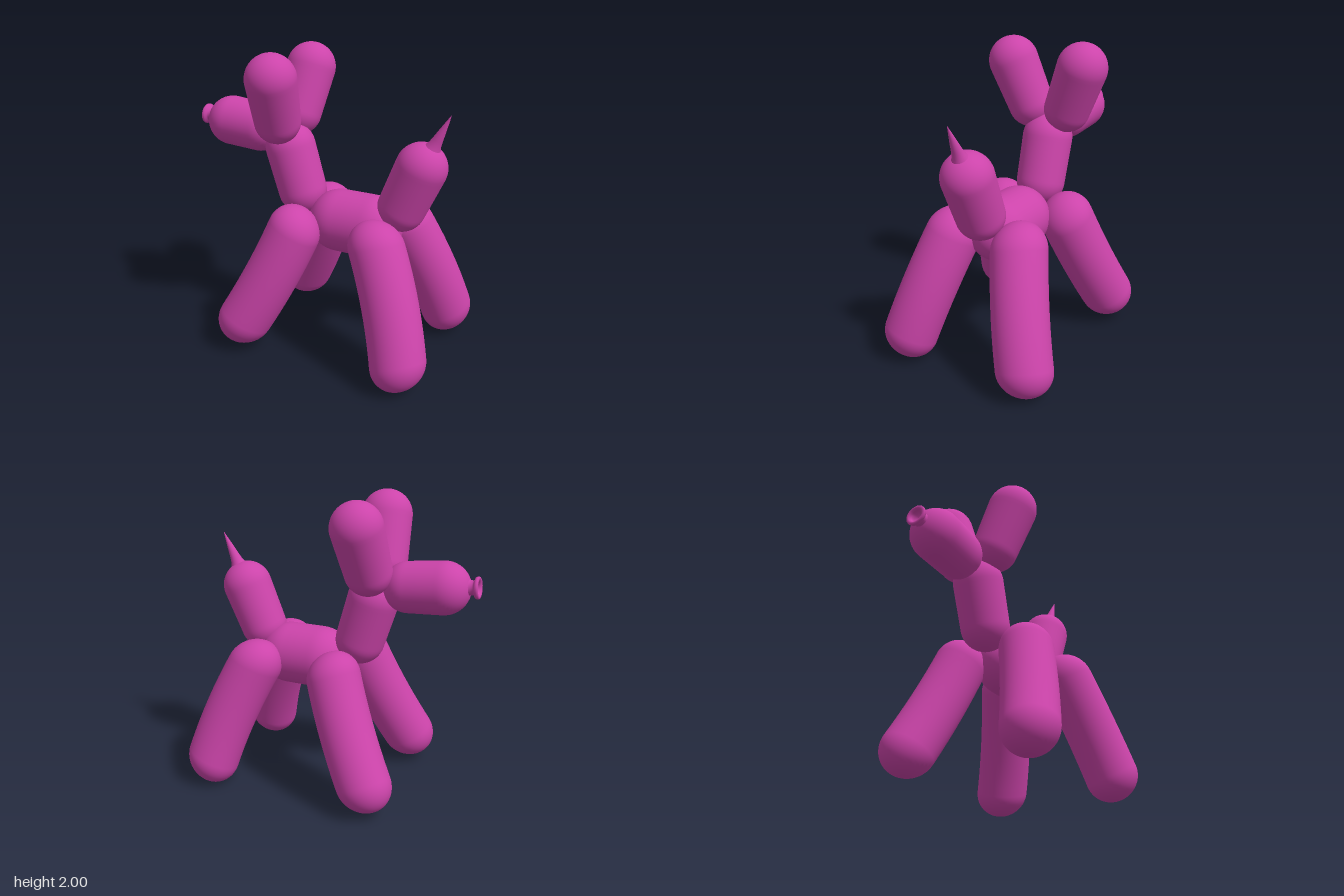
import * as THREE from 'three';
import { mergeVertices } from 'three/addons/utils/BufferGeometryUtils.js';

const V = (x, y, z) => new THREE.Vector3(x, y, z);
const UP = V(0, 1, 0);
const MID = -0.01; // z of the symmetry plane

export function createModel() {
  const model = new THREE.Group();
  model.name = 'balloonDog';
  const rubber = new THREE.MeshStandardMaterial({ color: 0xcc44aa, roughness: 0.5 });
  const openRubber = rubber.clone();
  openRubber.side = THREE.DoubleSide;

  function add(name, geometry, material = rubber) {
    const mesh = new THREE.Mesh(geometry, material);
    mesh.name = name;
    model.add(mesh);
    return mesh;
  }

  // Capsule between two cap centres, with a radius for each end and a sideways bow along x
  function balloon(name, a, b, ra, rb = ra, bow = 0) {
    const axis = b.clone().sub(a);
    const length = axis.length();
    let geo = new THREE.CapsuleGeometry(1, length, 14, 40, 12);
    const turn = new THREE.Quaternion().setFromUnitVectors(UP, axis.clone().normalize());
    const centre = a.clone().add(b).multiplyScalar(0.5);
    const pos = geo.attributes.position;
    const p = V(0, 0, 0);
    for (let i = 0; i < pos.count; i++) {
      p.fromBufferAttribute(pos, i);
      const along = THREE.MathUtils.clamp(p.y, -length / 2, length / 2);
      const cap = p.y - along;
      const r = THREE.MathUtils.lerp(ra, rb, along / length + 0.5);
      p.set(p.x * r, along + cap * r, p.z * r);
      const t = p.y / length;
      p.applyQuaternion(turn).add(centre);
      p.x += bow * (1 - 4 * t * t);
      pos.setXYZ(i, p.x, p.y, p.z);
    }
    geo.deleteAttribute('uv');
    geo.deleteAttribute('normal');
    geo = mergeVertices(geo, 1e-5);
    geo.computeVertexNormals();
    return add(name, geo);
  }

  // Turned profile of [radius, height] points, placed at a base and aimed along a direction
  function turned(name, profile, base, direction) {
    const points = profile.map(([r, y]) => new THREE.Vector2(r, y));
    const mesh = add(name, new THREE.LatheGeometry(points, 28), openRubber);
    mesh.position.copy(base);
    mesh.quaternion.setFromUnitVectors(UP, direction.normalize());
  }

  // Trunk, neck, muzzle and tail
  balloon('body', V(0.13, 0.87, MID), V(0.36, 0.87, MID), 0.21);
  balloon('neck', V(-0.16, 1.04, MID), V(-0.25, 1.33, MID), 0.165, 0.17);
  balloon('muzzle', V(-0.49, 1.435, -0.02), V(-0.72, 1.455, -0.02), 0.165, 0.17);
  balloon('tail', V(0.57, 1.04, MID), V(0.69, 1.32, MID), 0.158, 0.166);

  // Mirrored ears and legs
  for (const [side, s] of [['left', 1], ['right', -1]]) {
    balloon(side + 'Ear', V(-0.265, 1.54, MID + 0.14 * s), V(-0.235, 1.832, MID + 0.26 * s), 0.155, 0.168);
    balloon(side + 'FrontLeg', V(-0.08, 0.84, -0.005 + 0.26 * s), V(-0.365, 0.215, -0.005 + 0.435 * s), 0.18, 0.18, 0.015);
    balloon(side + 'RearLeg', V(0.515, 0.835, -0.005 + 0.25 * s), V(0.76, 0.182, -0.005 + 0.437 * s), 0.18, 0.18, 0.02);
  }

  // Knotted nozzle with a flared, hollow rim
  turned('nozzle', [
    [0.06, -0.03], [0.048, 0], [0.045, 0.02], [0.052, 0.03], [0.066, 0.035], [0.07, 0.045],
    [0.069, 0.055], [0.062, 0.06], [0.05, 0.058], [0.04, 0.045], [0.035, 0.02], [0, 0.015],
  ], V(-0.885, 1.475, -0.02), V(-1, 0.08, 0));

  // Thin uninflated tip of the tail
  turned('tailTip', [
    [0.075, -0.03], [0.055, 0.01], [0.041, 0.04], [0.033, 0.08], [0.023, 0.14], [0.012, 0.2], [0, 0.262],
  ], V(0.752, 1.445, MID), V(0.115, 0.235, 0));

  return model;
}
